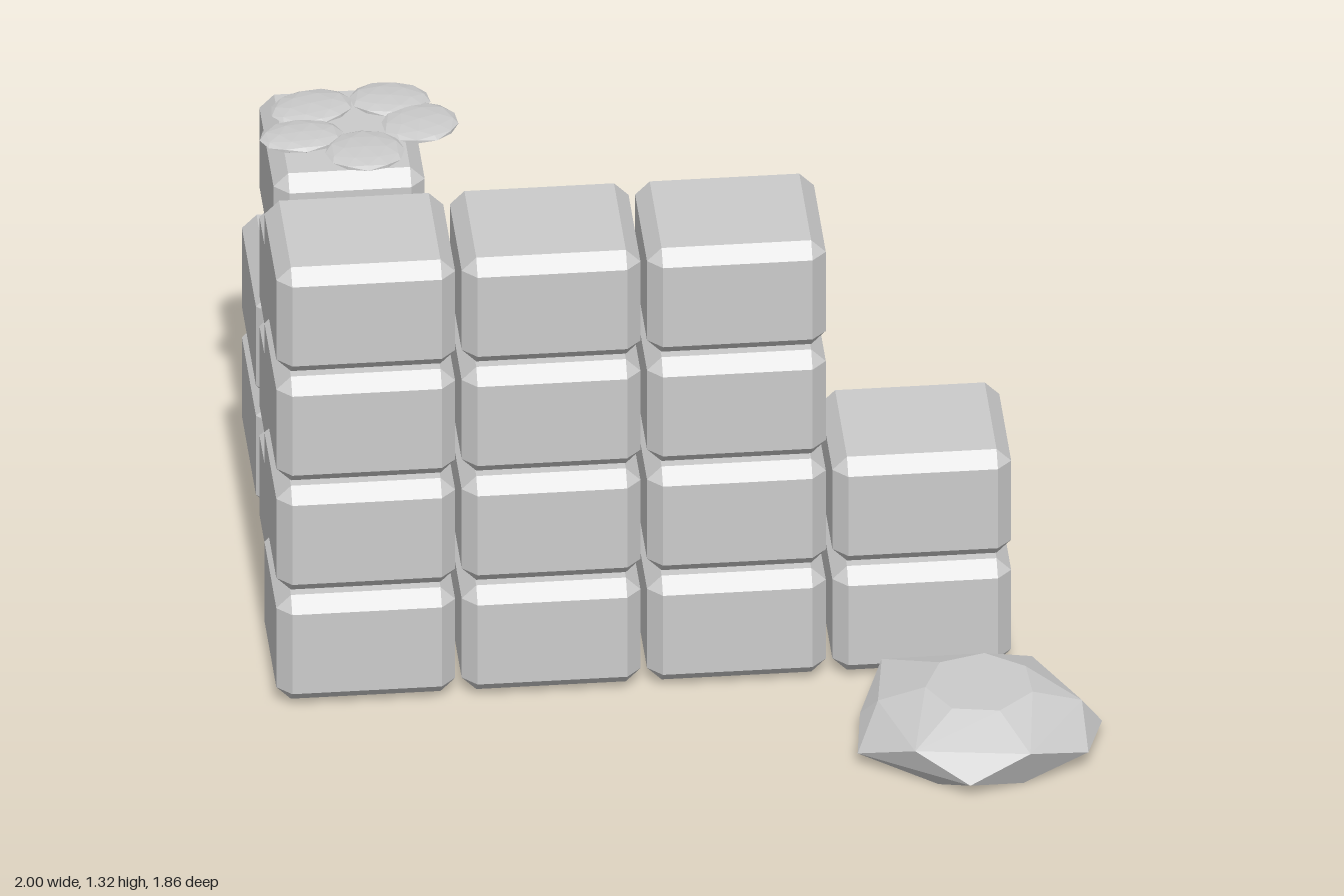
import * as THREE from 'three';
import { ConvexGeometry } from 'three/addons/geometries/ConvexGeometry.js';

const material = new THREE.MeshStandardMaterial({ color: 0xcccccc, flatShading: true });

function addMesh(parent, name, geometry, x = 0, y = 0, z = 0) {
  const mesh = new THREE.Mesh(geometry, material);
  mesh.name = name;
  mesh.position.set(x, y, z);
  parent.add(mesh);
  return mesh;
}

// Box with every edge and corner bevelled
function bevelledBox(w, h, d, c) {
  const points = [];
  for (const sx of [-1, 1]) for (const sy of [-1, 1]) for (const sz of [-1, 1]) {
    for (let axis = 0; axis < 3; axis++) {
      const inset = [0, 1, 2].map(i => (i === axis ? 0 : c));
      points.push(new THREE.Vector3(
        sx * (w / 2 - inset[0]), sy * (h / 2 - inset[1]), sz * (d / 2 - inset[2])));
    }
  }
  return new ConvexGeometry(points);
}

export function createModel() {
  const model = new THREE.Group();
  model.name = 'ruinedWallCorner';
  const rowY = row => 0.166 + row * 0.318;

  // Front wall: four columns, the last one broken off at half height
  const frontWall = new THREE.Group();
  frontWall.name = 'frontWall';
  model.add(frontWall);
  const frontBlock = bevelledBox(0.44, 0.302, 0.375, 0.036);
  [4, 4, 4, 2].forEach((height, column) => {
    for (let row = 0; row < height; row++) {
      addMesh(frontWall, 'frontBlock', frontBlock, -0.78 + column * 0.456, rowY(row), 0.18);
    }
  });

  // Side wall running backwards from the left end of the front wall
  const sideWall = new THREE.Group();
  sideWall.name = 'sideWall';
  model.add(sideWall);
  const sideBlock = bevelledBox(0.372, 0.302, 0.43, 0.036);
  [4, 2].forEach((height, column) => {
    for (let row = 0; row < height; row++) {
      addMesh(sideWall, 'sideBlock', sideBlock, -0.78, rowY(row), -0.272 - column * 0.447);
    }
  });

  // Fallen stone: hull of a faceted outline with smaller rings above and below
  const outline = [
    [0.48, 0.43, 0.105], [0.82, 0.37, 0.04], [1.0, 0.66, 0.04], [0.95, 0.83, 0.06],
    [0.80, 0.91, 0.115], [0.65, 0.93, 0.045], [0.52, 0.87, 0.115], [0.39, 0.75, 0.04],
    [0.41, 0.60, 0.06],
  ];
  const stonePoints = outline.map(([x, z, y]) => new THREE.Vector3(x, y, z));
  const ring = (n, rx, rz, y, turn) => {
    for (let i = 0; i < n; i++) {
      const a = turn + (i / n) * Math.PI * 2;
      stonePoints.push(new THREE.Vector3(0.7 + rx * Math.cos(a), y, 0.655 + rz * Math.sin(a)));
    }
  };
  ring(7, 0.24, 0.22, 0, 0.3);
  ring(6, 0.25, 0.23, 0.115, 0.1);
  ring(7, 0.135, 0.135, 0.166, 0.4);
  addMesh(model, 'fallenStone', new ConvexGeometry(stonePoints));

  // Flat five-petalled plant on top of the side wall
  const plant = new THREE.Group();
  plant.name = 'plant';
  model.add(plant);
  const petal = new THREE.IcosahedronGeometry(1, 1);
  const petals = [
    [-0.85, -0.33, 0.105, 0.078, 0.3], [-0.655, -0.348, 0.1, 0.078, -0.2],
    [-0.592, -0.235, 0.096, 0.09, 0.4], [-0.738, -0.122, 0.098, 0.092, 0],
    [-0.887, -0.203, 0.104, 0.074, 0.1],
  ];
  for (const [x, z, rx, rz, turn] of petals) {
    const mesh = addMesh(plant, 'petal', petal, x, 1.306, z);
    mesh.scale.set(rx, 0.014, rz);
    mesh.rotation.y = turn;
  }
  return model;
}
